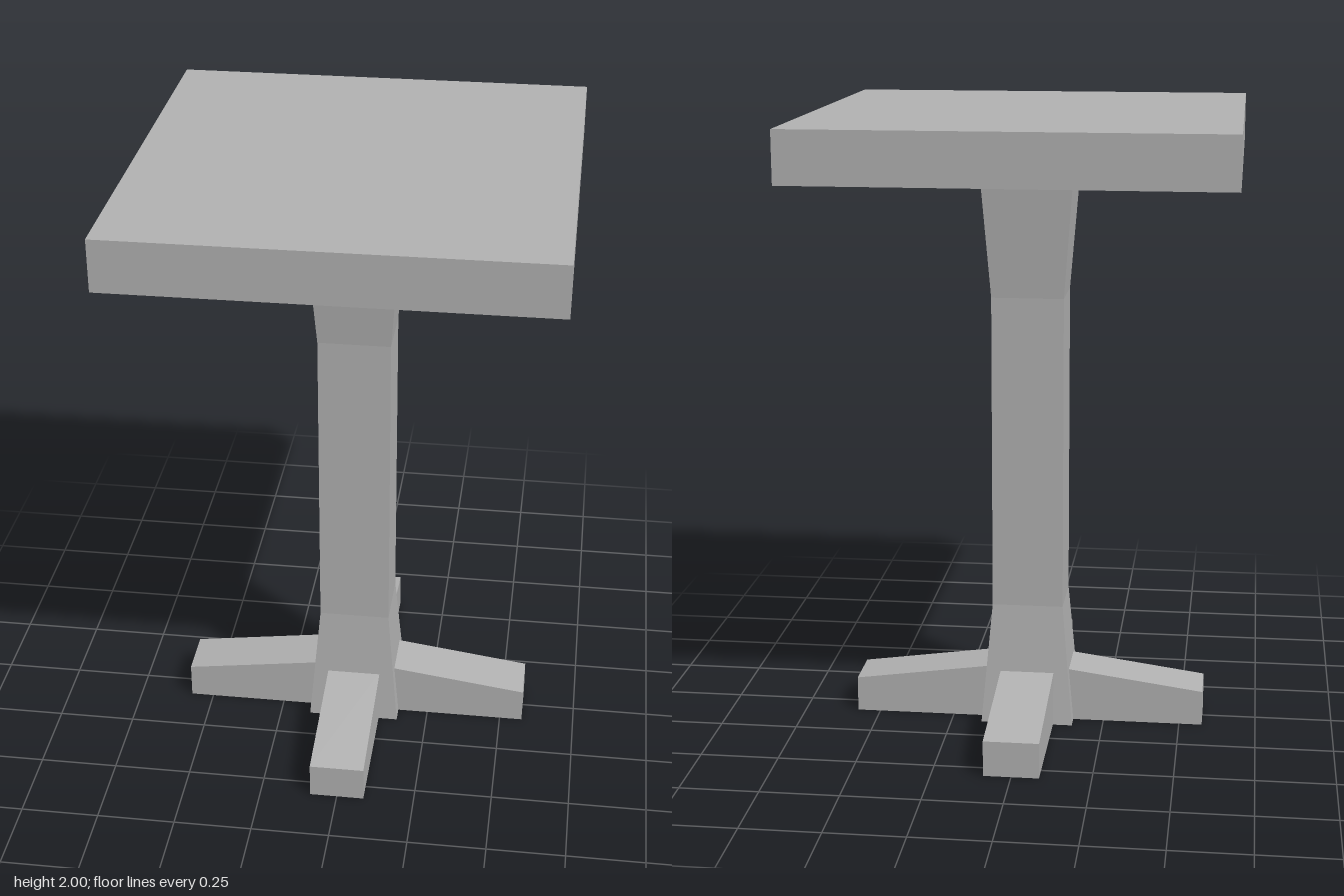
import * as THREE from 'three';

export function createModel() {
  const model = new THREE.Group();
  model.name = 'pedestalTable';
  const grey = new THREE.MeshStandardMaterial({ color: 0xb4b4b4 });
  grey.name = 'plain grey';

  const add = (name, geometry) => {
    const mesh = new THREE.Mesh(geometry, grey);
    mesh.name = name;
    model.add(mesh);
    return mesh;
  };

  // Square slab top
  add('tableTop', new THREE.BoxGeometry(1.325, 0.16, 1.38).translate(0, 1.92, 0));

  // Column flaring at both ends: [height, half width, half depth]
  const levels = [
    [0, 0.15, 0.137],
    [0.4, 0.115, 0.104],
    [1.42, 0.115, 0.104],
    [1.84, 0.148, 0.133],
  ];
  const column = new THREE.BoxGeometry(2, 3, 2, 1, 3, 1).toNonIndexed();
  const p = column.attributes.position;
  for (let i = 0; i < p.count; i++) {
    const [y, hx, hz] = levels[Math.round(p.getY(i) + 1.5)];
    p.setXYZ(i, p.getX(i) * hx, y, p.getZ(i) * hz);
  }
  column.computeVertexNormals();
  add('column', column);

  // Four feet whose tops slope down towards the tips
  const foot = (name, angle, inner, tip, width) => {
    const side = new THREE.Shape([
      new THREE.Vector2(inner, 0),
      new THREE.Vector2(tip, 0),
      new THREE.Vector2(tip, 0.115),
      new THREE.Vector2(inner, 0.177),
    ]);
    const geometry = new THREE.ExtrudeGeometry(side, { depth: width, bevelEnabled: false });
    geometry.translate(0, 0, -width / 2);
    add(name, geometry).rotation.y = angle;
  };
  foot('leftFoot', 0, 0.125, 0.575, 0.165);
  foot('backFoot', Math.PI / 2, 0.112, 0.56, 0.175);
  foot('rightFoot', Math.PI, 0.125, 0.575, 0.165);
  foot('frontFoot', -Math.PI / 2, 0.112, 0.56, 0.175);

  return model;
}
